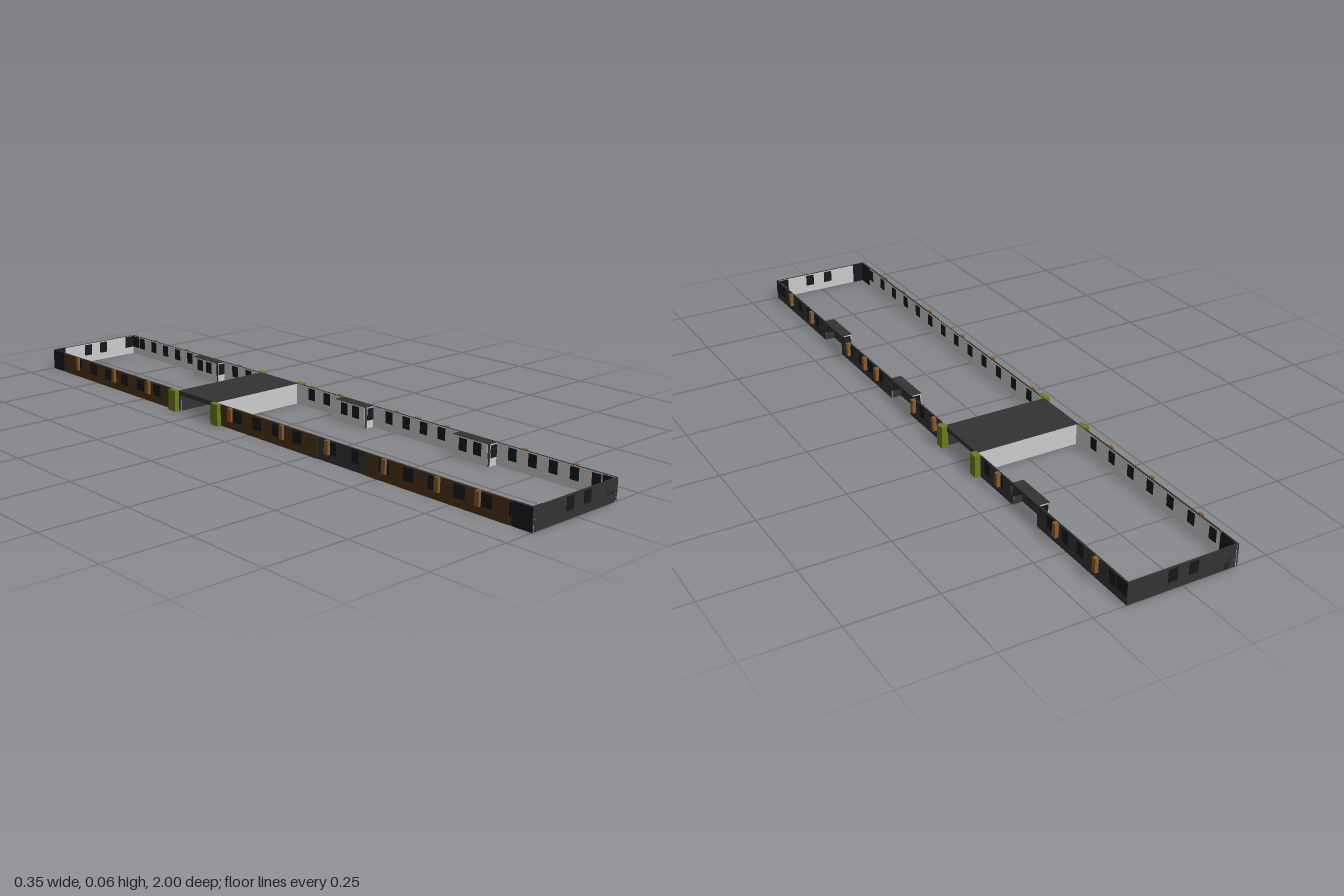
import * as THREE from 'three';

const H = 0.062, XL = -0.16, XR = 0.158;
const mat = (color) => new THREE.MeshStandardMaterial({ color, flatShading: true });
const dark = mat(0x333333), light = mat(0xcccccc), glass = mat(0x15191d),
  brown = mat(0x4a3018), timber = mat(0x8a5a2c), olive = mat(0x6b7a20);

// Box given by its limits on each axis
function box(parent, name, m, x0, x1, y0, y1, z0, z1) {
  const mesh = new THREE.Mesh(new THREE.BoxGeometry(x1 - x0, y1 - y0, z1 - z0), m);
  mesh.position.set((x0 + x1) / 2, (y0 + y1) / 2, (z0 + z1) / 2);
  mesh.name = name;
  parent.add(mesh);
  return mesh;
}

// Wall from a to b: dark outer skin, light inner lining, windows at given distances.
// In the wall's own frame x runs along it and +z points indoors.
function wall(parent, name, a, b, windows = []) {
  const dx = b[0] - a[0], dz = b[1] - a[1], len = Math.hypot(dx, dz);
  const g = new THREE.Group();
  g.name = name;
  g.position.set(a[0], 0, a[1]);
  g.rotation.y = Math.atan2(-dz, dx);
  box(g, 'outerSkin', dark, 0, len, 0, H, 0, 0.004);
  box(g, 'innerLining', light, 0, len, 0, H - 0.001, 0.003, 0.005);
  for (const d of windows) box(g, 'window', glass, d - 0.0135, d + 0.0135, 0.023, 0.058, -0.001, 0.006);
  parent.add(g);
}

// Evenly spread positions along a length
function spread(len, step) {
  const n = Math.floor((len - 0.03) / step);
  return Array.from({ length: n }, (_, i) => (len - (n - 1) * step) / 2 + i * step);
}

// Closed ring of walls between z0 and z1, with recessed bays on the +x side
function wing(name, z0, z1, bays, backWindows, frontWindows) {
  const g = new THREE.Group();
  g.name = name;
  wall(g, 'backWall', [XL, z0], [XR, z0], backWindows);
  let z = z0;
  for (const [b0, b1] of bays) {
    wall(g, 'leftWall', [XR, z], [XR, b0], spread(b0 - z, 0.066));
    wall(g, 'bayCheek', [XR, b0], [0.128, b0], [0.015]);
    wall(g, 'bayBack', [0.128, b0], [0.128, b1], [0.035, b1 - b0 - 0.035]);
    wall(g, 'bayCheek', [0.128, b1], [XR, b1], [0.015]);
    box(g, 'bayRoof', dark, 0.125, XR, H - 0.004, H + 0.0005, b0 - 0.003, b1 + 0.003);
    z = b1;
  }
  wall(g, 'leftWall', [XR, z], [XR, z1], spread(z1 - z, 0.066));
  wall(g, 'frontWall', [XR, z1], [XL, z1], frontWindows);
  wall(g, 'rightWall', [XL, z1], [XL, z0], spread(z1 - z0, 0.084));
  return g;
}

export function createModel() {
  const model = new THREE.Group();
  model.name = 'buildingStorey';
  const ends = [0.117, 0.182];
  model.add(wing('backWing', -1, -0.32, [[-0.62, -0.505]], [0.13, 0.19], []));
  model.add(wing('frontWing', -0.158, 1, [[0.048, 0.165], [0.5, 0.62]], [], ends));

  // Bridge deck over the passage
  box(model, 'bridgeDeck', dark, XL, XR, 0.049, H, -0.325, -0.155);

  // Corner blocks: full height on the right, window corners on the left
  for (const s of [-1, 1]) {
    const span = (a, b) => (s > 0 ? [a, b] : [-b, -a]);
    box(model, 'cornerPanel', glass, XL - 0.001, -0.12, 0, H, ...span(0.994, 1));
    box(model, 'cornerPanel', glass, XL - 0.001, XL + 0.006, 0, H, ...span(0.94, 1));
    box(model, 'cornerWindow', glass, 0.12, XR + 0.001, 0.023, 0.06, ...span(0.994, 1));
    box(model, 'cornerWindow', glass, XR - 0.006, XR + 0.001, 0.023, 0.06, ...span(0.96, 1));
  }

  // Brown cladding on the right side, with windows set in it
  for (const [z0, z1] of [[-0.93, -0.35], [-0.13, 0.28], [0.46, 0.93]]) {
    box(model, 'cladding', brown, XL - 0.002, XL + 0.001, 0, H, z0, z1);
    for (const d of spread(z1 - z0, 0.084))
      box(model, 'claddingWindow', glass, XL - 0.003, XL, 0.023, 0.058, z0 + d - 0.018, z0 + d + 0.018);
  }

  // Slim timber pilasters along both sides
  for (const z of [-0.88, -0.71, -0.44, -0.1, 0.02, 0.25, 0.33, 0.44, 0.71, 0.87])
    box(model, 'pilaster', timber, XR, XR + 0.011, 0.023, H, z - 0.007, z + 0.007);
  for (const z of [-0.85, -0.65, -0.47, -0.08, 0.14, 0.32, 0.53, 0.71, 0.84])
    box(model, 'pilaster', timber, XL - 0.01, XL, 0.023, H, z - 0.007, z + 0.007);

  // Olive piers framing both mouths of the passage
  for (const z of [-0.33, -0.152])
    box(model, 'passagePier', olive, XR - 0.003, 0.174, 0, H + 0.001, z - 0.014, z + 0.014);
  for (const z of [-0.34, -0.142])
    box(model, 'passagePier', olive, -0.175, XL + 0.002, 0, H + 0.001, z - 0.016, z + 0.016);

  return model;
}
